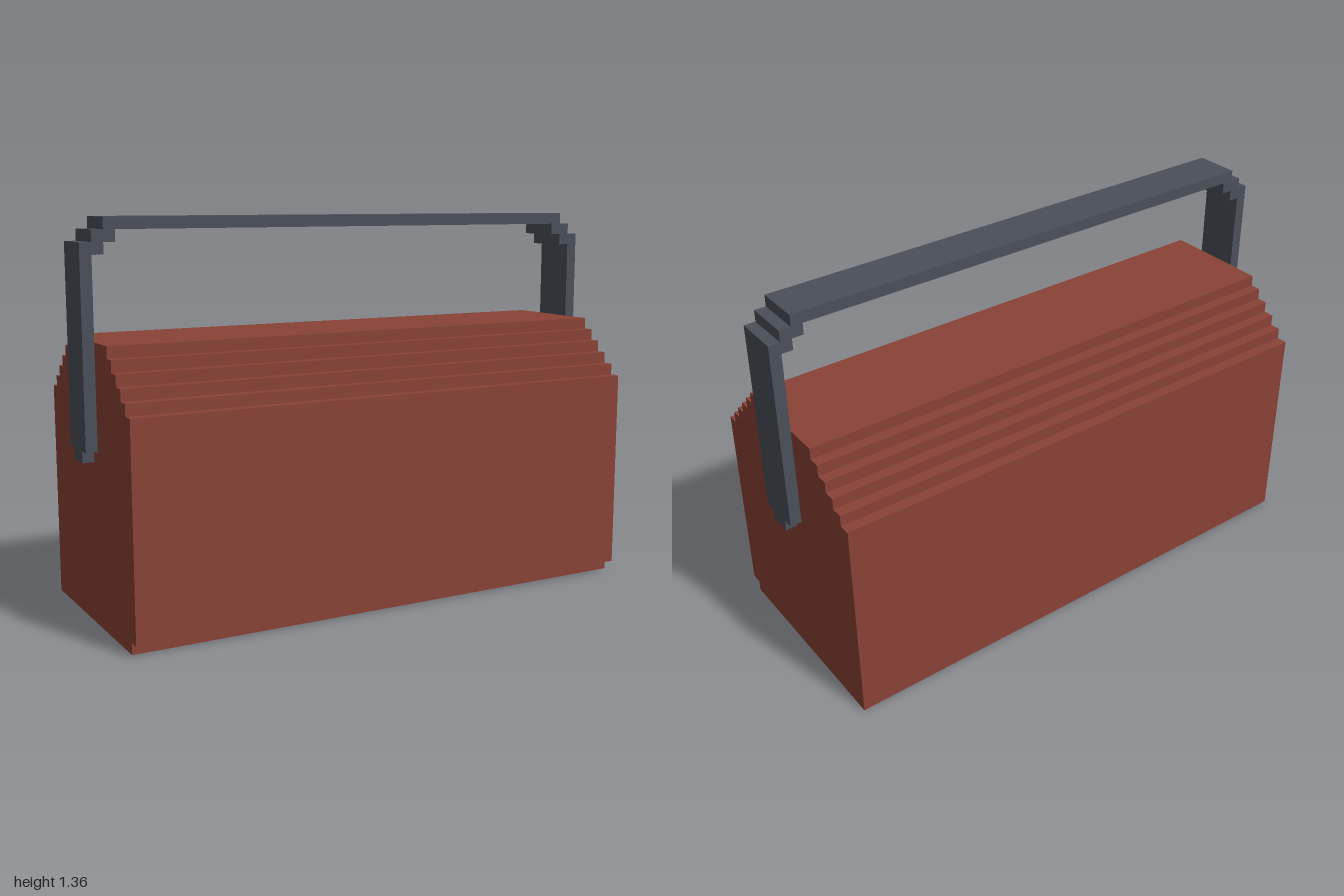
import * as THREE from 'three';

const STEP = 0.04;

// Extrude an outline, centred on its depth
function extrude(points, depth, material, name) {
  const shape = new THREE.Shape(points.map(([x, y]) => new THREE.Vector2(x, y)));
  const geometry = new THREE.ExtrudeGeometry(shape, { depth, bevelEnabled: false });
  geometry.translate(0, 0, -depth / 2);
  const mesh = new THREE.Mesh(geometry, material);
  mesh.name = name;
  return mesh;
}

const mirrored = (points) => points.map(([x, y]) => [-x, y]).reverse();

export function createModel() {
  const red = new THREE.MeshStandardMaterial({ color: 0x8a4236 });
  red.name = 'brick red';
  const grey = new THREE.MeshStandardMaterial({ color: 0x4b5059 });
  grey.name = 'slate grey';

  const model = new THREE.Group();
  model.name = 'toolbox';

  // Box: stepped lid on both sides, small notch under the front edge
  const slope = [];
  for (let i = 0; i <= 5; i++) {
    const z = 0.4 - i * STEP;
    const y = 0.76 + i * STEP;
    slope.push([z, y - (i ? STEP : 0)], [z, y]);
  }
  const side = slope.slice(1);
  const body = extrude(
    [[-0.4, 0], [0.36, 0], [0.36, STEP], [0.4, STEP], ...side, ...mirrored(side)],
    1.92, red, 'body');
  body.geometry.rotateY(-Math.PI / 2);
  model.add(body);

  // Handle: flat strap with stepped corners
  const outer = [[1, 0.6], [1, 1.28], [0.96, 1.28], [0.96, 1.32], [0.92, 1.32], [0.92, 1.36]];
  const inner = [[0.88, 1.32], [0.88, 1.28], [0.92, 1.28], [0.92, 1.24], [0.96, 1.24], [0.96, 0.6]];
  model.add(extrude(
    [...outer, ...mirrored(outer), ...mirrored(inner), ...inner],
    0.16, grey, 'handle'));

  // Narrow tabs at the strap ends
  for (const s of [1, -1]) {
    const tab = new THREE.Mesh(new THREE.BoxGeometry(STEP, STEP, 0.08), grey);
    tab.name = s > 0 ? 'leftHandleTab' : 'rightHandleTab';
    tab.position.set(s * 0.98, 0.58, 0);
    model.add(tab);
  }
  return model;
}
